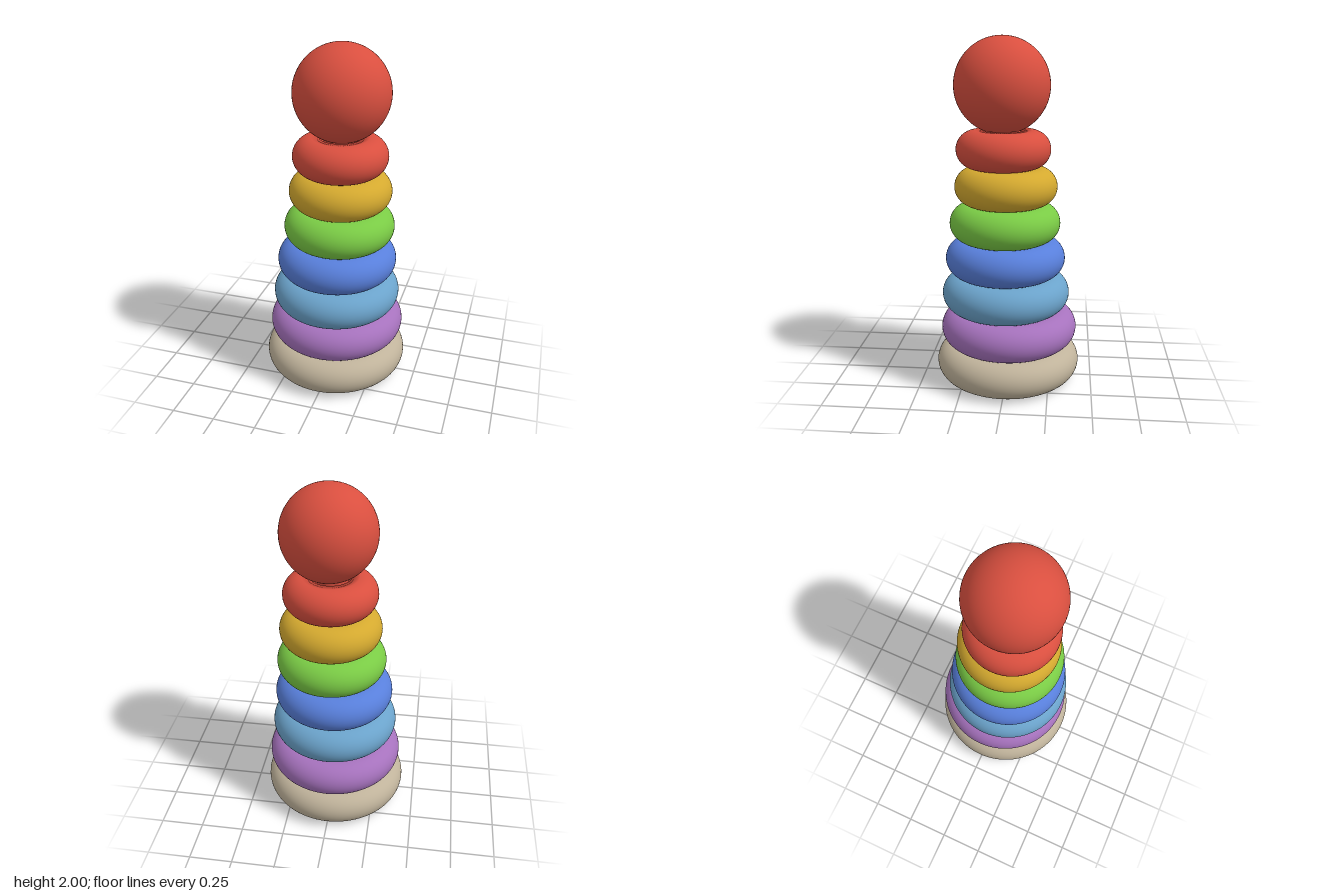
import * as THREE from 'three';

const material = (name, color) => {
  const m = new THREE.MeshStandardMaterial({ color });
  m.name = name;
  return m;
};

// Disc with a half-round rim; hole is the bore radius (0 closes it)
function ringGeometry(radius, height, hole) {
  const h = height / 2;
  const flat = radius - h;
  const points = [new THREE.Vector2(hole, -h)];
  for (let i = 0; i <= 20; i++) {
    const a = -Math.PI / 2 + (Math.PI * i) / 20;
    points.push(new THREE.Vector2(flat + h * Math.cos(a), h * Math.sin(a)));
  }
  points.push(new THREE.Vector2(hole, h));
  if (hole > 0) points.push(new THREE.Vector2(hole, -h));
  return new THREE.LatheGeometry(points, 80);
}

export function createModel() {
  const group = new THREE.Group();
  const red = material('red', 0xd94f3f);
  const add = (name, geometry, mat, x, y, z) => {
    const mesh = new THREE.Mesh(geometry, mat);
    mesh.name = name;
    mesh.position.set(x, y, z);
    group.add(mesh);
    return mesh;
  };

  // Base and loosely stacked rings: name, material, radius, x, y, z
  const taupe = material('taupe', 0xc0b39b);
  add('base', ringGeometry(0.422, 0.212, 0), taupe, -0.002, 0.106, -0.001);
  const rings = [
    ['purpleRing', material('purple', 0xa672bd), 0.399, 0.002, 0.318, -0.007],
    ['tealRing', material('teal', 0x6ba3cb), 0.372, 0.006, 0.53, 0.011],
    ['blueRing', material('blue', 0x587fdb), 0.347, 0.01, 0.742, 0.013],
    ['greenRing', material('green', 0x7acb45), 0.318, 0.024, 0.955, 0.014],
    ['yellowRing', material('yellow', 0xd4a92f), 0.293, 0.028, 1.167, 0.008],
    ['redRing', red, 0.268, 0.031, 1.379, 0.022],
  ];
  for (const [name, mat, radius, x, y, z] of rings) {
    add(name, ringGeometry(radius, 0.213, 0.12), mat, x, y, z);
  }

  // Pole through the rings
  add('pole', new THREE.CylinderGeometry(0.085, 0.085, 1.36, 40), red, 0.018, 0.85, 0.012);

  // Ball on top, cut flat where it sits on the last ring
  const ballRadius = 0.268;
  const cut = Math.acos(-0.245 / ballRadius);
  add('ball', new THREE.SphereGeometry(ballRadius, 64, 48, 0, Math.PI * 2, 0, cut), red, 0.04, 1.732, 0.028);
  const seat = add('ballSeat', new THREE.CircleGeometry(ballRadius * Math.sin(cut), 64), red, 0.04, 1.487, 0.028);
  seat.rotation.x = Math.PI / 2;

  return group;
}
